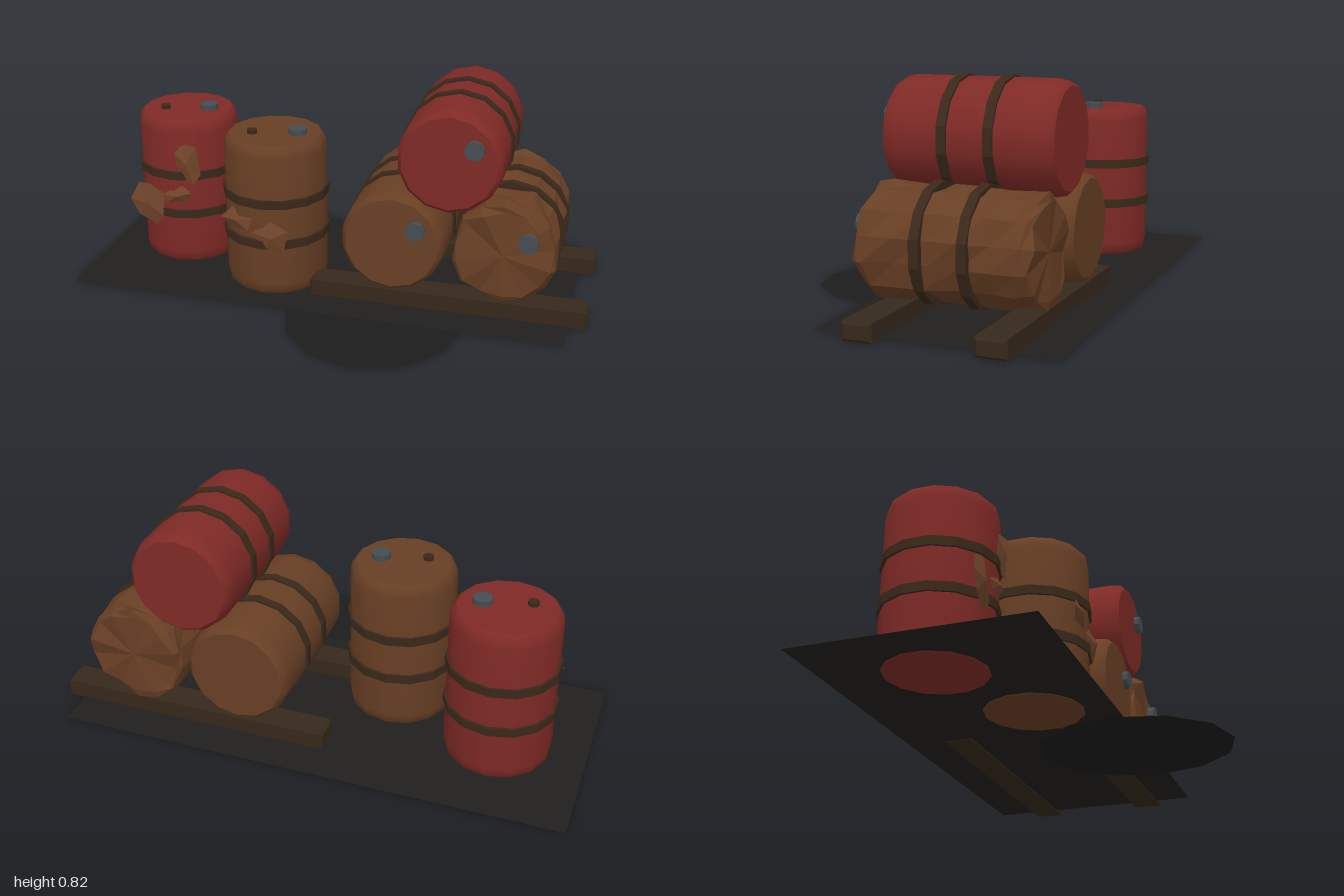
import * as THREE from 'three';
import { toCreasedNormals } from 'three/addons/utils/BufferGeometryUtils.js';

const SIDES = 14, LENGTH = 0.61, RADIUS = 0.199;
const paint = (color, extra = {}) => new THREE.MeshStandardMaterial({ color, ...extra });
const red = paint(0x7f2a26), brown = paint(0x683f24);
const crumpledBrown = paint(0x683f24, { flatShading: true });
const flake = paint(0x70452a, { flatShading: true, side: THREE.DoubleSide });
const hoopMat = paint(0x3a281a, { flatShading: true });
const wood = paint(0x36281b, { flatShading: true });
const steel = paint(0x454d52, { flatShading: true });
const tar = paint(0x211f1d, { side: THREE.DoubleSide });
const oil = paint(0x1c1c1c, { side: THREE.DoubleSide });

function add(parent, name, geometry, material, x = 0, y = 0, z = 0) {
  const mesh = new THREE.Mesh(geometry, material);
  mesh.name = name;
  mesh.position.set(x, y, z);
  parent.add(mesh);
  return mesh;
}

// Position-based noise, so coincident vertices move together
function noise(x, y, z, seed) {
  const r = v => Math.round(v * 1000);
  const s = Math.sin(r(x) * 12.99 + r(y) * 78.23 + r(z) * 37.72 + seed * 9.1) * 4375.85;
  return s - Math.floor(s);
}

function barrelBody(dented) {
  const rings = dented ? [0.14, 0.25, 0.36, 0.47] : [];
  const profile = [
    [0, 0], [0.178, 0], [0.193, 0.016], [RADIUS, 0.05],
    ...rings.map(y => [RADIUS, y]),
    [RADIUS, LENGTH - 0.05], [0.193, LENGTH - 0.016], [0.178, LENGTH], [0, LENGTH],
  ].map(([r, y]) => new THREE.Vector2(r, y));
  const geometry = new THREE.LatheGeometry(profile, SIDES);
  if (!dented) return toCreasedNormals(geometry, 0.75);
  // Push the wall inward unevenly and jitter it along its length
  const p = geometry.attributes.position;
  for (let i = 0; i < p.count; i++) {
    const x = p.getX(i), y = p.getY(i), z = p.getZ(i);
    if (Math.hypot(x, z) < 0.01) continue;
    const k = 1.02 - 0.13 * noise(x, y, z, 1) ** 1.5;
    p.setXYZ(i, x * k, y + (noise(x, y, z, 2) - 0.5) * 0.035, z * k);
  }
  geometry.computeVertexNormals();
  return geometry;
}

// Upright barrel with hoops and a large bung; the lid is at the top
function barrel(name, material, bung, dented = false) {
  const group = new THREE.Group();
  group.name = name;
  add(group, 'barrelBody', barrelBody(dented), material);
  for (const y of [0.22, 0.385]) {
    const r = RADIUS + 0.009, h = 0.017;
    const section = [[0.18, -h], [r, -h], [r, h], [0.18, h]].map(([a, b]) => new THREE.Vector2(a, b));
    add(group, 'hoop', new THREE.LatheGeometry(section, SIDES), hoopMat, 0, y, 0);
  }
  add(group, 'bung', new THREE.CylinderGeometry(0.036, 0.036, 0.03, 10), steel, bung[0], LENGTH + 0.006, bung[1]);
  return group;
}

// Rust flake: a fan around a raised centre, outline given in x and y
function rustFlake(parent, outline, z) {
  const n = outline.length;
  const cx = outline.reduce((s, p) => s + p[0], 0) / n;
  const cy = outline.reduce((s, p) => s + p[1], 0) / n;
  const points = [cx, cy, z + 0.012], index = [];
  outline.forEach(([x, y], i) => {
    points.push(x, y, z - (i % 2) * 0.012);
    index.push(0, 1 + (i + 1) % n, 1 + i);
  });
  const geometry = new THREE.BufferGeometry();
  geometry.setAttribute('position', new THREE.Float32BufferAttribute(points, 3));
  geometry.setIndex(index);
  geometry.computeVertexNormals();
  add(parent, 'rustFlake', geometry, flake);
}

// Rail with chamfered long edges and ends
function railGeometry() {
  const w = 0.045, h = 0.024, b = 0.009;
  const shape = new THREE.Shape([[-w, -h], [w, -h], [w, h], [-w, h]].map(([x, y]) => new THREE.Vector2(x, y)));
  const geometry = new THREE.ExtrudeGeometry(shape, {
    depth: 1.06 - 2 * b, bevelEnabled: true, bevelSize: b, bevelThickness: b, bevelSegments: 1,
  });
  return geometry.translate(0, 0, -0.53 + b).rotateY(Math.PI / 2);
}

export function createModel() {
  const model = new THREE.Group();
  model.name = 'barrelStack';

  // Ground stain and the spill reaching out from under it
  add(model, 'groundSheet', new THREE.PlaneGeometry(1.92, 0.85).rotateX(-Math.PI / 2), tar, -0.04, 0.008, -0.175);
  const spill = add(model, 'oilSpill', new THREE.CircleGeometry(1, 12).rotateX(-Math.PI / 2), oil, 0.215, 0.001, 0.215);
  spill.scale.set(0.338, 1, 0.375);

  // Two standing barrels, each with a small vent plug
  for (const [name, material, x, z] of [
    ['redStandingBarrel', red, -0.672, -0.22],
    ['brownStandingBarrel', brown, -0.243, -0.035],
  ]) {
    const b = barrel(name, material, [0.09, 0]);
    b.position.set(x, 0.004, z);
    add(b, 'ventPlug', new THREE.CylinderGeometry(0.02, 0.02, 0.02, 8), hoopMat, -0.08, LENGTH + 0.005, 0.042);
    model.add(b);
  }

  // Peeling rust on the fronts of the standing barrels
  const redFlakes = [
    [[-0.86, 0.27], [-0.825, 0.34], [-0.775, 0.345], [-0.715, 0.3], [-0.722, 0.205], [-0.755, 0.163], [-0.825, 0.205]],
    [[-0.722, 0.3], [-0.645, 0.35], [-0.595, 0.32], [-0.62, 0.275], [-0.7, 0.27]],
    [[-0.66, 0.485], [-0.63, 0.52], [-0.57, 0.52], [-0.557, 0.4], [-0.585, 0.355], [-0.655, 0.39]],
  ];
  const brownFlakes = [
    [[-0.4, 0.325], [-0.355, 0.37], [-0.33, 0.335], [-0.28, 0.325], [-0.295, 0.275], [-0.365, 0.285]],
    [[-0.28, 0.27], [-0.205, 0.318], [-0.135, 0.29], [-0.157, 0.195], [-0.225, 0.21]],
  ];
  redFlakes.forEach(outline => rustFlake(model, outline, -0.02));
  brownFlakes.forEach(outline => rustFlake(model, outline, 0.168));

  // Rails carrying the stack
  for (const z of [0.055, -0.402]) add(model, 'rail', railGeometry(), wood, 0.46, 0.037, z);

  // Three barrels lying with their lids to the front
  for (const [name, material, x, y, dented] of [
    ['lowerRightBarrel', brown, 0.255, 0.275, false],
    ['lowerLeftDentedBarrel', crumpledBrown, 0.67, 0.275, true],
    ['upperRedBarrel', red, 0.46, 0.613, false],
  ]) {
    const b = barrel(name, material, [0.092, -0.065], dented);
    b.rotation.x = Math.PI / 2;
    b.position.set(x, y, 0.135 - LENGTH);
    model.add(b);
  }
  return model;
}
